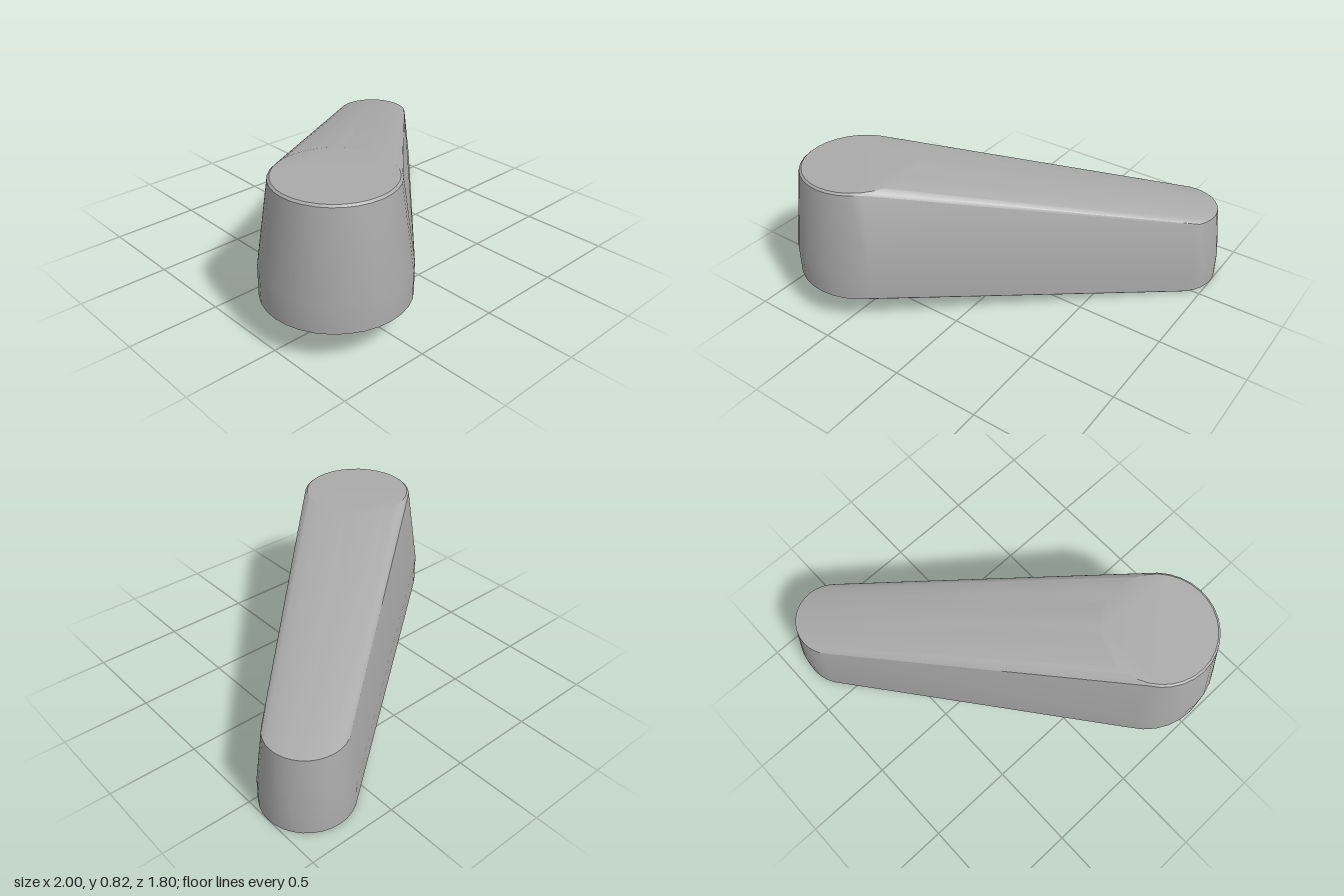
import * as THREE from 'three';
import { ConvexGeometry } from 'three/addons/geometries/ConvexGeometry.js';
import { toCreasedNormals } from 'three/addons/utils/BufferGeometryUtils.js';

const SEGMENTS = 32;

// Horizontal rings of points around a centre; each profile entry is [radius, y]
function rings(cx, cz, profile) {
  const points = [];
  for (const [r, y] of profile) {
    for (let i = 0; i < SEGMENTS; i++) {
      const a = (i / SEGMENTS) * Math.PI * 2;
      points.push(new THREE.Vector3(cx + r * Math.cos(a), y, cz + r * Math.sin(a)));
    }
  }
  return points;
}

export function createModel() {
  const group = new THREE.Group();
  group.name = 'leverArm';
  const grey = new THREE.MeshStandardMaterial({ color: 0xaaaaaa });
  grey.name = 'grey';

  // Wide raised end: straight foot, tapered wall, small top bevel
  const wideEnd = rings(-0.615, 0.515, [[0.385, 0.19], [0.385, 0.355], [0.32, 0.81], [0.308, 0.82]]);
  // Narrow low end: straight foot and tapered wall
  const narrowEnd = rings(0.75, -0.655, [[0.25, 0], [0.25, 0.14], [0.215, 0.44]]);

  // One skin stretched over both ends
  const geometry = toCreasedNormals(new ConvexGeometry([...wideEnd, ...narrowEnd]), 0.45);
  const body = new THREE.Mesh(geometry, grey);
  body.name = 'taperedBody';
  group.add(body);
  return group;
}
